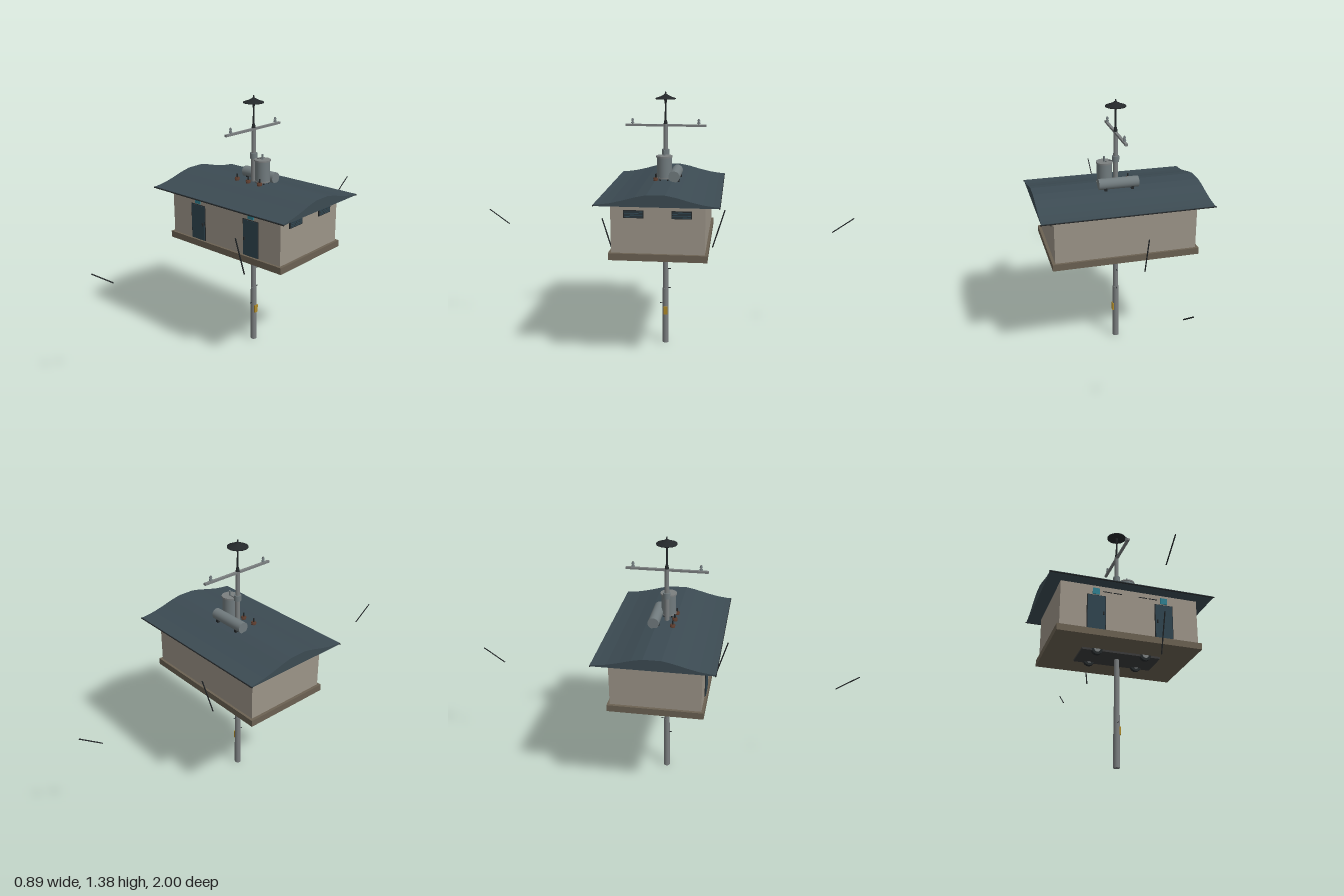
import * as THREE from 'three';

const mats = {};
const mat = (c) => (mats[c] ??= new THREE.MeshStandardMaterial({ color: c }));
const C = { wall: 0x9c9488, base: 0x6b6152, roof: 0x3c4b53, door: 0x2f444f, glass: 0x2f7f90,
  pole: 0x7b7f80, tank: 0x717b7e, dark: 0x24282a, under: 0x3a3b3b, brown: 0x5a3a2c, sign: 0xb08a28 };

export function createModel() {
  const model = new THREE.Group();
  const add = (name, geo, color, x = 0, y = 0, z = 0, parent = model) => {
    const m = new THREE.Mesh(geo, mat(color));
    m.name = name;
    m.position.set(x, y, z);
    parent.add(m);
    return m;
  };
  // box given by its limits on each axis
  const box = (name, color, x0, x1, y0, y1, z0, z1) =>
    add(name, new THREE.BoxGeometry(x1 - x0, y1 - y0, z1 - z0), color, (x0 + x1) / 2, (y0 + y1) / 2, (z0 + z1) / 2);
  // upright tapered cylinder between two heights
  const post = (name, color, r0, r1, y0, y1, x = 0, z = 0, n = 16) =>
    add(name, new THREE.CylinderGeometry(r1, r0, y1 - y0, n), color, x, (y0 + y1) / 2, z);
  // round rod between two points
  const rod = (name, color, r, a, b, n = 8) => {
    const p = new THREE.Vector3(...a), q = new THREE.Vector3(...b), d = q.clone().sub(p);
    const m = add(name, new THREE.CylinderGeometry(r, r, d.length(), n), color);
    m.position.copy(p).add(q).multiplyScalar(0.5);
    m.quaternion.setFromUnitVectors(new THREE.Vector3(0, 1, 0), d.normalize());
    return m;
  };

  // cabin
  box('floorSlab', C.base, -0.385, 0.385, 0.592, 0.627, -0.243, 0.243);
  box('walls', C.wall, -0.37, 0.37, 0.627, 0.88, -0.23, 0.23);

  // curved roof with flared eaves
  const half = [[0.3, 0.882], [0.27, 0.884], [0.22, 0.891], [0.16, 0.905], [0.1, 0.922], [0.045, 0.933]];
  const outline = [[-0.3, 0.875], [0.3, 0.875], ...half, ...half.slice().reverse().map(([z, y]) => [-z, y])];
  const roofShape = new THREE.Shape(outline.map(([z, y]) => new THREE.Vector2(z, y)));
  const roofGeo = new THREE.ExtrudeGeometry(roofShape, { depth: 0.88, bevelEnabled: false });
  roofGeo.translate(0, 0, -0.44).rotateY(Math.PI / 2);
  add('roof', roofGeo, C.roof);
  for (const s of [-1, 1]) rod('eaveTrim', C.dark, 0.0035, [-0.445, 0.877, s * 0.299], [0.445, 0.877, s * 0.299]);

  // doors, small windows and slots on the front
  for (const s of [-1, 1]) {
    const front = (name, color, a, b, y0, y1, depth) =>
      box(name, color, Math.min(s * a, s * b), Math.max(s * a, s * b), y0, y1, 0.228, 0.23 + depth);
    front('doorFrame', C.dark, 0.132, 0.232, 0.628, 0.821, 0.003);
    front('door', C.door, 0.136, 0.228, 0.63, 0.818, 0.006);
    front('doorHandle', C.dark, 0.142, 0.149, 0.71, 0.727, 0.012);
    front('windowPane', C.glass, 0.165, 0.202, 0.826, 0.86, 0.005);
    front('ventSlot', C.dark, 0.1, 0.148, 0.845, 0.849, 0.002);
    front('ventSlot', C.dark, 0.045, 0.09, 0.845, 0.849, 0.002);
  }

  // louvred vents on the left end
  for (const s of [-1, 1]) {
    const z = s * 0.117;
    box('ventFrame', C.dark, 0.366, 0.376, 0.805, 0.843, z - 0.049, z + 0.049);
    for (let i = 0; i < 4; i++)
      box('ventSlat', C.door, 0.37, 0.378, 0.809 + i * 0.008, 0.814 + i * 0.008, z - 0.045, z + 0.045);
  }

  // chassis plate and half-sunk wheels under the floor
  box('underPlate', C.under, -0.213, 0.213, 0.581, 0.593, -0.085, 0.085);
  for (const x of [-0.132, 0.132]) {
    rod('axle', C.dark, 0.006, [x, 0.588, -0.08], [x, 0.588, 0.08]);
    for (const z of [-0.076, 0.076]) {
      rod('wheel', C.dark, 0.03, [x, 0.592, z - 0.01], [x, 0.592, z + 0.01], 20);
      rod('wheelHub', C.pole, 0.017, [x, 0.592, z - 0.012], [x, 0.592, z + 0.012], 16);
    }
  }

  // central pole
  post('poleFoot', C.pole, 0.0175, 0.0165, 0, 0.245);
  post('poleSleeve', C.pole, 0.0165, 0.016, 0.245, 0.32);
  post('poleShaft', C.pole, 0.0145, 0.0135, 0.32, 0.95);
  post('poleTop', C.pole, 0.0135, 0.011, 0.93, 1.215);
  post('poleCollar', C.tank, 0.019, 0.019, 1.055, 1.085);
  [0.23, 0.32, 0.43, 0.49].forEach((y, i) => {
    const s = i === 0 || i === 2 ? (i ? -1 : 1) : (i === 1 ? -1 : (i === 3 ? -1 : 1));
    rod('climbingStep', C.dark, 0.002, [0, y, 0], [0, y, s * 0.03]);
  });
  box('poleSign', C.sign, 0.01, 0.021, 0.17, 0.213, -0.011, 0.011);

  // crossarm with insulators
  box('crossarm', C.pole, -0.007, 0.007, 1.203, 1.214, -0.21, 0.21);
  for (const z of [-0.172, 0.172]) {
    post('insulatorPin', C.pole, 0.004, 0.004, 1.212, 1.243, 0, z, 10);
    post('insulatorSkirt', C.tank, 0.009, 0.007, 1.218, 1.226, 0, z, 12);
    post('insulatorCap', C.tank, 0.008, 0.005, 1.231, 1.241, 0, z, 12);
  }

  // mast and umbrella-shaped cap
  post('mastCollar', C.dark, 0.011, 0.007, 1.214, 1.235);
  post('mast', C.dark, 0.005, 0.004, 1.23, 1.35, 0, 0, 10);
  post('mastSocket', C.dark, 0.004, 0.009, 1.315, 1.345, 0, 0, 12);
  const cap = [[0, 1.343], [0.053, 1.343], [0.053, 1.347], [0.03, 1.355], [0.012, 1.364], [0.004, 1.37], [0.003, 1.38], [0, 1.38]];
  add('mastCap', new THREE.LatheGeometry(cap.map(([r, y]) => new THREE.Vector2(r, y)), 24), C.dark);

  // lying tank on the back of the roof ridge
  rod('lyingTank', C.tank, 0.029, [-0.105, 0.957, -0.054], [0.105, 0.957, -0.054], 24);
  for (const x of [-0.07, 0.07]) box('tankCradle', C.dark, x - 0.008, x + 0.008, 0.922, 0.94, -0.08, -0.028);

  // standing tank with rim, feet and pipe
  post('standingTank', C.tank, 0.039, 0.039, 0.943, 1.055, 0.06, 0, 24);
  post('tankRim', C.pole, 0.043, 0.043, 1.052, 1.06, 0.06, 0, 24);
  post('tankBand', C.pole, 0.041, 0.041, 0.943, 0.95, 0.06, 0, 24);
  post('tankPipe', C.tank, 0.005, 0.005, 1.055, 1.087, 0.06, 0, 10);
  for (const x of [0.035, 0.085]) for (const z of [-0.02, 0.02]) post('tankFoot', C.dark, 0.004, 0.004, 0.928, 0.945, x, z, 8);
  rod('tankBracket', C.dark, 0.004, [0, 1.057, 0], [0.06, 1.057, 0]);

  // brown bushings in front of the tanks
  for (const x of [-0.077, 0, 0.077]) {
    post('bushingFoot', C.brown, 0.014, 0.012, 0.926, 0.938, x, 0.042, 12);
    post('bushingDisc', C.brown, 0.015, 0.011, 0.941, 0.948, x, 0.042, 12);
    post('bushingPin', C.dark, 0.005, 0.004, 0.93, 0.967, x, 0.042, 8);
  }

  // loose cable ends around the cabin
  for (const [s, x] of [[1, 0.156], [-1, -0.092]])
    rod('nearCable', C.dark, 0.0035, [x, 0.53, s * 0.25], [x, 0.743, s * 0.314]);
  for (const s of [-1, 1])
    rod('farCable', C.dark, 0.003, [-0.07, 0.64, s * 0.888], [-0.07, 0.721, s * 0.998]);

  return model;
}
